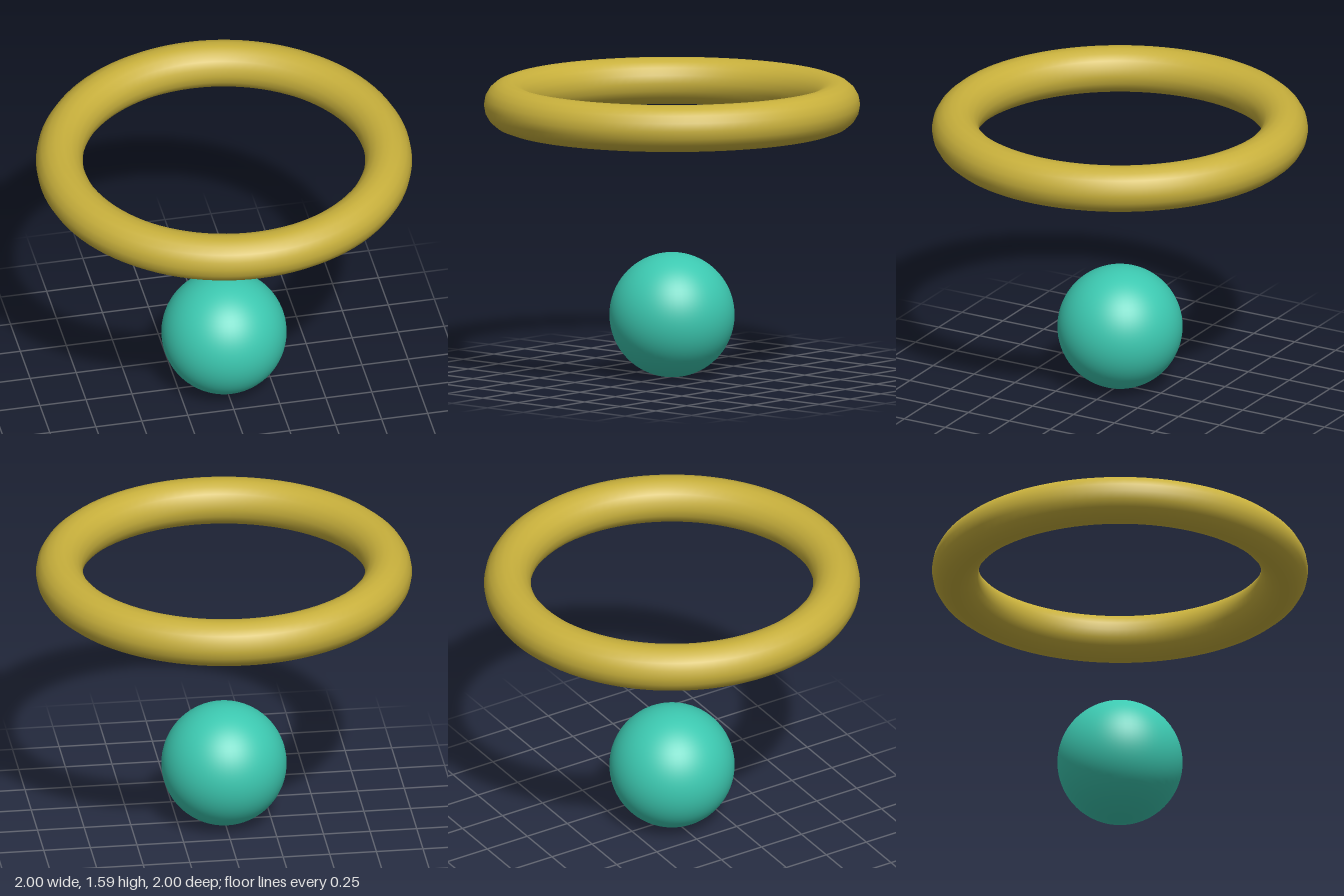
import * as THREE from 'three';

export function createModel() {
  const model = new THREE.Group();

  const addPart = (name, geometry, color, y) => {
    const mesh = new THREE.Mesh(geometry, new THREE.MeshStandardMaterial({ color }));
    mesh.name = name;
    mesh.position.y = y;
    model.add(mesh);
    return mesh;
  };

  // Ball resting on the ground
  addPart('ball', new THREE.SphereGeometry(0.333, 64, 40), 0x3cc8b0, 0.333);

  // Horizontal ring floating above the ball
  const ring = addPart('ring', new THREE.TorusGeometry(0.875, 0.125, 18, 96), 0xc8b03c, 1.462);
  ring.rotation.x = -Math.PI / 2;

  return model;
}
